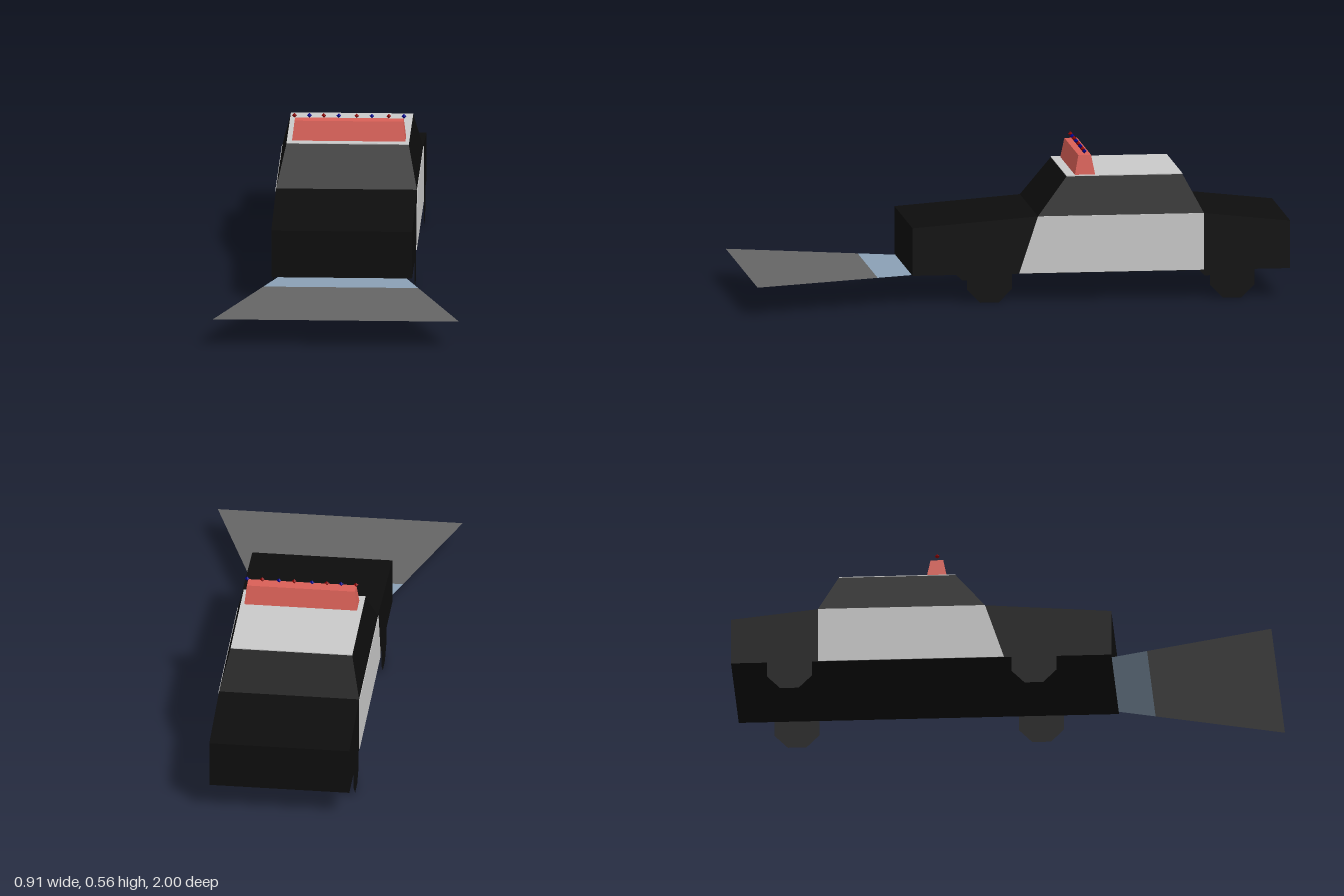
import * as THREE from 'three';

const paint = (name, color, extra = {}) => {
  const m = new THREE.MeshStandardMaterial({ color, ...extra });
  m.name = name;
  return m;
};

const CX = -0.005; // the car's middle line
const HALF = 0.259; // half the body width

// Side outline of [z, y] points, extruded across x and centred on cx.
function sidePrism(points, width, cx) {
  const shape = new THREE.Shape(points.map(([z, y]) => new THREE.Vector2(z, y)));
  const geo = new THREE.ExtrudeGeometry(shape, { depth: width, bevelEnabled: false });
  return geo.rotateY(-Math.PI / 2).translate(cx + width / 2, 0, 0);
}

// Box with separate bottom and top rectangles: { y, x: [min, max], z: [min, max] }.
function taperedBox(bottom, top) {
  const geo = new THREE.BoxGeometry(1, 1, 1);
  const p = geo.attributes.position;
  for (let i = 0; i < p.count; i++) {
    const r = p.getY(i) > 0 ? top : bottom;
    p.setXYZ(i, r.x[p.getX(i) > 0 ? 1 : 0], r.y, r.z[p.getZ(i) > 0 ? 1 : 0]);
  }
  geo.computeVertexNormals();
  return geo;
}

// Flat trapezium on the ground plane of the bumper.
function beamPanel(z0, half0, z1, half1) {
  const shape = new THREE.Shape([
    new THREE.Vector2(-half0, -z0), new THREE.Vector2(-half1, -z1),
    new THREE.Vector2(half1, -z1), new THREE.Vector2(half0, -z0),
  ]);
  return new THREE.ShapeGeometry(shape).rotateX(-Math.PI / 2).translate(-0.003, 0.105, 0);
}

export function createModel() {
  const black = paint('blackPaint', 0x0d0d0d);
  const tyre = paint('tyreBlack', 0x0d0d0d, { side: THREE.DoubleSide });
  const white = paint('whitePaint', 0xc9c9c9);
  const red = paint('lightBarRed', 0xd96057);
  const bulbRed = paint('bulbRed', 0x8b0000);
  const bulbBlue = paint('bulbBlue', 0x00008b);
  const beamBlue = paint('beamBlue', 0x8aa0b5, { side: THREE.DoubleSide });
  const beamGrey = paint('beamGrey', 0x656565, { side: THREE.DoubleSide });

  const car = new THREE.Group();
  car.name = 'patrolCar';
  const add = (name, geo, mat) => {
    const mesh = new THREE.Mesh(geo, mat);
    mesh.name = name;
    car.add(mesh);
    return mesh;
  };

  // Lower body with sloping bonnet and boot
  add('body', sidePrism([
    [0.4, 0.105], [0.4, 0.282], [-0.065, 0.317], [-0.68, 0.317], [-1, 0.282], [-1, 0.105],
  ], HALF * 2, CX), black);

  // Cabin and its white roof
  add('cabin', taperedBox(
    { y: 0.317, x: [CX - HALF, CX + HALF], z: [-0.68, -0.065] },
    { y: 0.458, x: [-0.23, 0.22], z: [-0.605, -0.175] },
  ), black);
  add('roof', new THREE.BoxGeometry(0.45, 0.003, 0.43).translate(CX, 0.4595, -0.39), white);

  // Doors and flat eight-sided wheels on both sides
  for (const [label, s] of [['left', 1], ['right', -1]]) {
    add(label + 'Door', sidePrism([
      [0.005, 0.106], [-0.065, 0.317], [-0.68, 0.317], [-0.68, 0.106],
    ], 0.003, CX + s * (HALF + 0.0005)), white);
    for (const [end, z] of [['Front', 0.115], ['Rear', -0.785]]) {
      const wheel = new THREE.CircleGeometry(0.0895, 8, Math.PI / 8).rotateY(s * Math.PI / 2);
      add(label + end + 'Wheel', wheel.translate(CX + s * (HALF + 0.001), 0.0827, z), tyre);
    }
  }

  // Light bar with alternating bulbs
  add('lightBar', taperedBox(
    { y: 0.461, x: [-0.211, 0.206], z: [-0.283, -0.208] },
    { y: 0.533, x: [-0.202, 0.198], z: [-0.269, -0.222] },
  ), red);
  [-0.203, -0.148, -0.095, -0.04, 0.026, 0.082, 0.144, 0.2].forEach((x, i) => {
    const bulb = add('bulb' + (i + 1), new THREE.OctahedronGeometry(0.009), i % 2 ? bulbBlue : bulbRed);
    bulb.position.set(x, 0.548, -0.244);
  });

  // Headlight beam spread out ahead of the bumper
  add('nearBeam', beamPanel(0.4, 0.237, 0.533, 0.285), beamBlue);
  add('farBeam', beamPanel(0.533, 0.285, 1, 0.453), beamGrey);

  return car;
}
